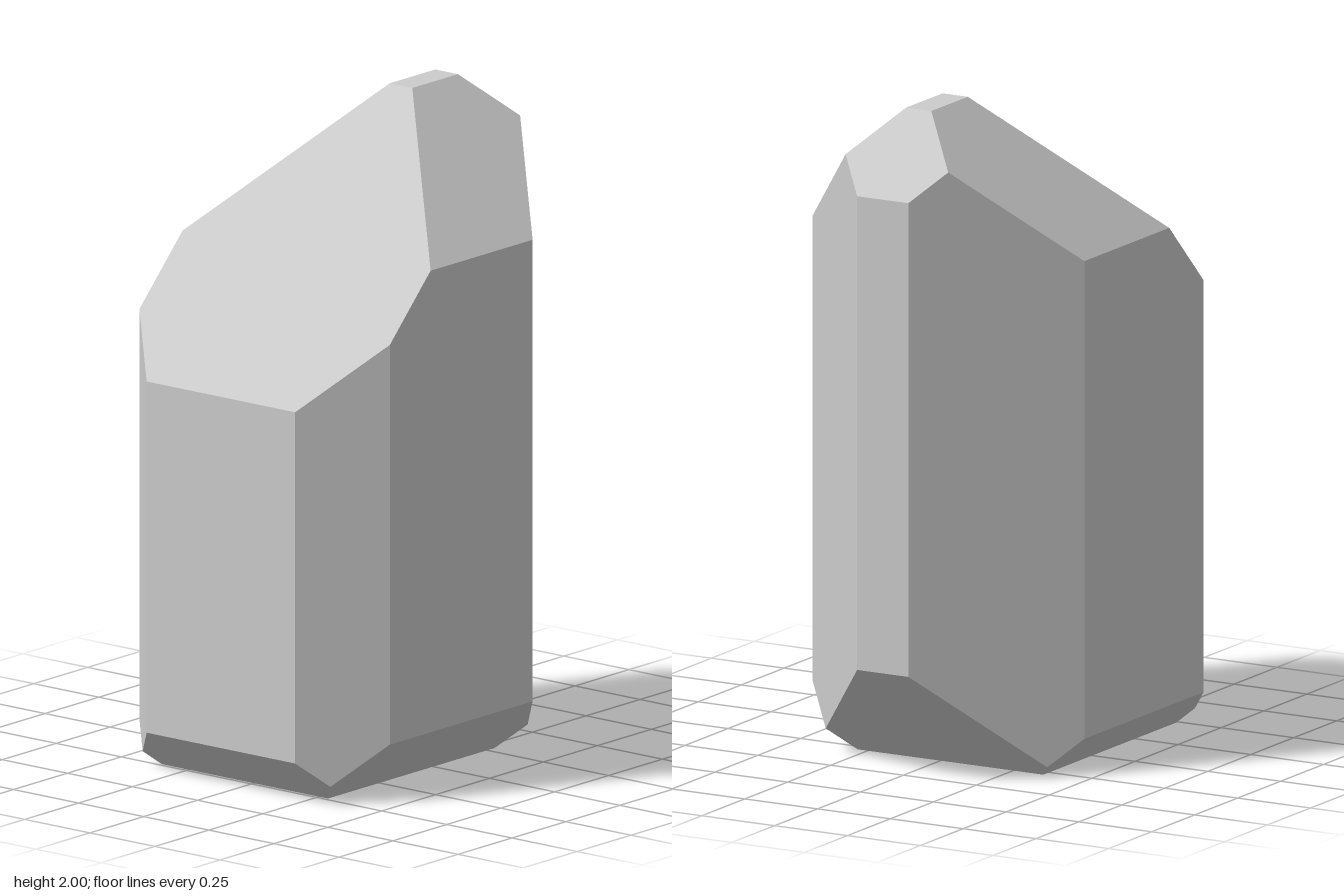
import * as THREE from 'three';

// The crystal is the solid enclosed by these planes: [nx, ny, nz, limit], nx*x + ny*y + nz*z <= limit
const PLANES = [
  // flat sides, top and base
  [1, 0, 0, 0.617], [-1, 0, 0, 0.619], [0, 0, 1, 0.465], [0, 0, -1, 0.466],
  [0, 1, 0, 2], [0, -1, 0, 0],
  // upright corner bevels
  [1, 0, 1, 0.707], [1, 0, -1, 0.703], [-1, 0, 1, 0.885], [-1, 0, -1, 0.923],
  // top bevels
  [-1, 1, 0, 1.822], [1, 1, 0, 2.39], [0, 1, 1, 2.056], [0, 1, -1, 2.031],
  // base bevels
  [1, -1, 0, 0.284], [-1, -1, 0, 0.489], [0, -1, 1, 0.284], [0, -1, -1, 0.353],
].map(([x, y, z, d]) => ({ n: new THREE.Vector3(x, y, z), d }));

// Corners: where three planes meet without leaving the solid
function findCorners(planes) {
  const corners = [];
  for (let i = 0; i < planes.length; i++)
    for (let j = i + 1; j < planes.length; j++)
      for (let k = j + 1; k < planes.length; k++) {
        const [a, b, c] = [planes[i], planes[j], planes[k]];
        const bc = b.n.clone().cross(c.n);
        const det = a.n.dot(bc);
        if (Math.abs(det) < 1e-6) continue;
        const p = bc.multiplyScalar(a.d)
          .addScaledVector(c.n.clone().cross(a.n), b.d)
          .addScaledVector(a.n.clone().cross(b.n), c.d)
          .divideScalar(det);
        const inside = planes.every(({ n, d }) => n.dot(p) <= d + 1e-6);
        if (inside && !corners.some((q) => q.distanceTo(p) < 1e-5)) corners.push(p);
      }
  return corners;
}

// Each facet is a fan over its corners, ordered counter-clockwise about its normal
function facetedSolid(planes) {
  const corners = findCorners(planes);
  const positions = [];
  for (const { n, d } of planes) {
    const ring = corners.filter((p) => Math.abs(n.dot(p) - d) < 1e-5);
    if (ring.length < 3) continue;
    const centre = ring.reduce((s, p) => s.add(p), new THREE.Vector3()).divideScalar(ring.length);
    const u = ring[0].clone().sub(centre).normalize();
    const v = n.clone().normalize().cross(u);
    const angle = (p) => {
      const r = p.clone().sub(centre);
      return Math.atan2(r.dot(v), r.dot(u));
    };
    ring.sort((p, q) => angle(p) - angle(q));
    for (let i = 1; i < ring.length - 1; i++)
      for (const p of [ring[0], ring[i], ring[i + 1]]) positions.push(p.x, p.y, p.z);
  }
  const geometry = new THREE.BufferGeometry();
  geometry.setAttribute('position', new THREE.Float32BufferAttribute(positions, 3));
  geometry.computeVertexNormals();
  return geometry;
}

export function createModel() {
  const group = new THREE.Group();
  group.name = 'crystal';
  const material = new THREE.MeshStandardMaterial({ color: 0xcccccc, flatShading: true });
  const body = new THREE.Mesh(facetedSolid(PLANES), material);
  body.name = 'crystalBody';
  group.add(body);
  return group;
}
